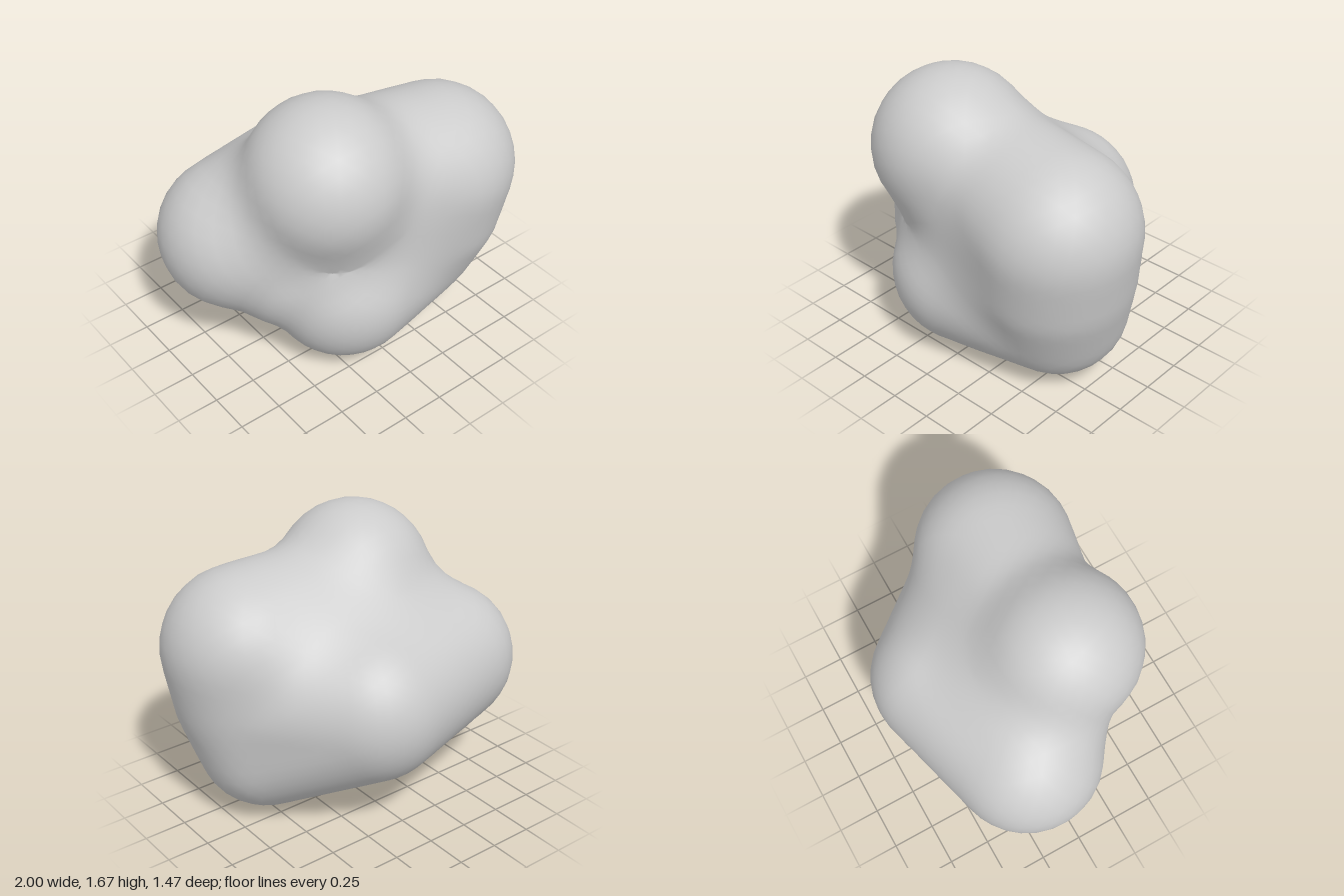
import * as THREE from 'three';
import { mergeVertices } from 'three/addons/utils/BufferGeometryUtils.js';

const V = (x, y, z) => new THREE.Vector3(x, y, z);

// Round swells of the boulder: x, y, z, radius
const lobes = {
  top: [-0.23, 1.215, 0.255, 0.455],
  left: [0.535, 0.99, 0.27, 0.465],
  right: [-0.565, 0.76, -0.14, 0.435],
  back: [0.08, 0.72, -0.29, 0.45],
  frontFoot: [-0.12, 0.45, 0.27, 0.44],
  leftFoot: [0.47, 0.43, 0.17, 0.405],
  flank: [0.51, 0.72, 0.24, 0.45],
  underside: [0.15, 0.45, 0.2, 0.45],
  core: [-0.03, 0.82, 0.1, 0.46],
  chest: [0.0, 0.8, 0.2, 0.42],
  leftSaddle: [0.15, 1.07, 0.22, 0.42],
  rightSaddle: [-0.35, 0.95, 0.05, 0.42],
  backSaddle: [-0.03, 0.92, -0.05, 0.4],
  rightWaist: [-0.34, 0.62, 0.07, 0.415],
};

// Lobes joined by a straight, tapering swell
const bridges = [
  ['right', 'back'], ['back', 'flank'], ['left', 'flank'], ['flank', 'leftFoot'],
  ['frontFoot', 'underside'], ['underside', 'leftFoot'], ['back', 'underside'],
  ['back', 'leftFoot'], ['leftSaddle', 'left'], ['chest', 'flank'],
];

const toSwell = ([x, y, z, radius]) => ({ centre: V(x, y, z), radius });
const swells = Object.values(lobes).map(toSwell);
const STEPS = 12;
for (const [a, b] of bridges) {
  for (let i = 1; i < STEPS; i++) {
    swells.push(toSwell(lobes[a].map((v, k) => THREE.MathUtils.lerp(v, lobes[b][k], i / STEPS))));
  }
}

// Farthest hit of a ray on any swell
function reach(origin, dir) {
  let far = 0;
  for (const { centre, radius } of swells) {
    const toCentre = centre.clone().sub(origin);
    const along = toCentre.dot(dir);
    const h = radius * radius - toCentre.lengthSq() + along * along;
    if (h > 0) far = Math.max(far, along + Math.sqrt(h));
  }
  return far;
}

// Neighbouring vertices of every vertex
function neighbours(geo) {
  const sets = Array.from({ length: geo.attributes.position.count }, () => new Set());
  const idx = geo.index.array;
  for (let i = 0; i < idx.length; i += 3) {
    for (let j = 0; j < 3; j++) {
      const a = idx[i + j], b = idx[i + (j + 1) % 3];
      sets[a].add(b);
      sets[b].add(a);
    }
  }
  return sets;
}

// Raise hollows towards the mean of their neighbours, leaving bulges alone
function fillHollows(geo, rounds) {
  const pos = geo.attributes.position, near = neighbours(geo);
  const p = V(), q = V(), n = V(), mean = V();
  for (let round = 0; round < rounds; round++) {
    geo.computeVertexNormals();
    const old = pos.clone();
    for (let i = 0; i < pos.count; i++) {
      p.fromBufferAttribute(old, i);
      n.fromBufferAttribute(geo.attributes.normal, i);
      mean.set(0, 0, 0);
      for (const j of near[i]) mean.add(q.fromBufferAttribute(old, j));
      const lift = mean.divideScalar(near[i].size).sub(p).dot(n);
      if (lift > 0) p.addScaledVector(n, lift * 0.8);
      pos.setXYZ(i, p.x, p.y, p.z);
    }
  }
}

export function createModel() {
  let geo = new THREE.IcosahedronGeometry(1, 12);
  geo.deleteAttribute('uv');
  geo.deleteAttribute('normal');
  geo = mergeVertices(geo, 1e-4);

  // Push a ball out to the swells, then soften the valleys
  const pos = geo.attributes.position;
  const origin = V(0.05, 0.75, 0.1), dir = V();
  for (let i = 0; i < pos.count; i++) {
    dir.fromBufferAttribute(pos, i).normalize();
    const r = reach(origin, dir);
    pos.setXYZ(i, origin.x + dir.x * r, origin.y + dir.y * r, origin.z + dir.z * r);
  }
  fillHollows(geo, 50);
  geo.computeVertexNormals();

  const boulder = new THREE.Mesh(geo, new THREE.MeshStandardMaterial({ color: 0xcccccc }));
  boulder.name = 'boulder';
  const group = new THREE.Group();
  group.name = 'lobedBoulder';
  group.add(boulder);
  return group;
}
